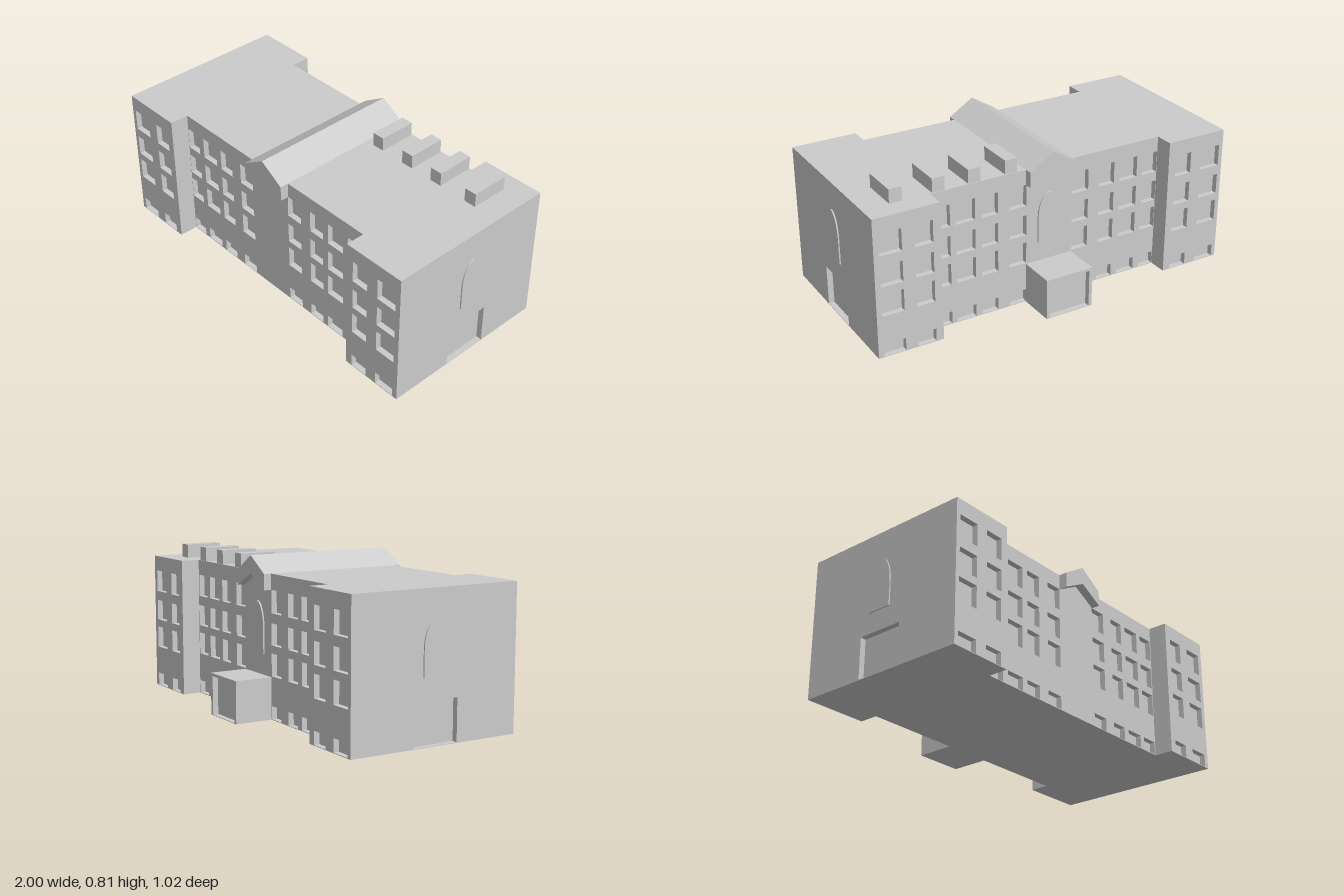
import * as THREE from 'three';

export function createModel() {
  const model = new THREE.Group();
  const material = new THREE.MeshStandardMaterial({ color: 0xcccccc, flatShading: true });
  const H = 0.73, T = 0.03, FLOOR = 0.003; // wall height, recess depth, floor of recesses

  function add(name, geometry, parent = model) {
    const mesh = new THREE.Mesh(geometry, material);
    mesh.name = name;
    parent.add(mesh);
    return mesh;
  }

  // Box given by its limits
  function block(name, x0, x1, y0, y1, z0, z1) {
    const g = new THREE.BoxGeometry(x1 - x0, y1 - y0, z1 - z0);
    g.translate((x0 + x1) / 2, (y0 + y1) / 2, (z0 + z1) / 2);
    return add(name, g);
  }

  function rectangle(Kind, x0, x1, y0, y1) {
    const p = new Kind();
    p.moveTo(x0, y0).lineTo(x1, y0).lineTo(x1, y1).lineTo(x0, y1).closePath();
    return p;
  }

  // Wall slab of thickness T with rectangular openings [x0, x1, y0, y1]
  function facade(x0, x1, height, openings) {
    const shape = rectangle(THREE.Shape, x0, x1, 0, height);
    for (const o of openings) shape.holes.push(rectangle(THREE.Path, ...o));
    return new THREE.ExtrudeGeometry(shape, { depth: T, bevelEnabled: false });
  }

  // Window grid: four storeys over the given columns
  const storeys = [[FLOOR, 0.07], [0.22, 0.335], [0.375, 0.485], [0.535, 0.65]];
  const windows = (columns) => columns.flatMap((c) => storeys.map((s) => [...c, ...s]));
  const leftWing = [[0.69, 0.785], [0.85, 0.965]];
  const rightWing = [[-0.97, -0.855], [-0.79, -0.69]];
  const centre = [
    [-0.648, -0.56], [-0.525, -0.42], [-0.385, -0.295], [-0.23, -0.135],
    [0.13, 0.225], [0.29, 0.38], [0.415, 0.52], [0.55, 0.645],
  ];

  // Cores behind the window recesses
  const W = 0.993, I = 0.65;
  block('centreCore', -I, I, 0, H, -0.315 + T, 0.41 - T);
  block('leftWingCore', I, W - T, 0, H, -0.415 + T, 0.51 - T);
  block('rightWingCore', -W + T, -I, 0, H, -0.415 + T, 0.51 - T);

  // Front and back walls: name, limits, columns, front z, back z
  for (const [name, x0, x1, cols, front, back] of [
    ['centre', -I, I, centre, 0.41, -0.315],
    ['leftWing', I, W, leftWing, 0.51, -0.415],
    ['rightWing', -W, -I, rightWing, 0.51, -0.415],
  ]) {
    const wall = facade(x0, x1, H, windows(cols));
    add(name + 'FrontWall', wall).position.z = front - T;
    add(name + 'BackWall', wall).position.z = back;
    block(name + 'Floor', x0, x1, 0, FLOOR, back, front);
  }

  // End walls with a recessed doorway
  const endWall = facade(-0.51 + T, 0.415 - T, H, [[-0.17, 0.075, FLOOR, 0.215]]);
  endWall.rotateY(Math.PI / 2);
  add('leftEndWall', endWall).position.x = W - T;
  add('rightEndWall', endWall).position.x = -W;

  // Thin raised arched windows on both ends and above the porch
  const arch = new THREE.Shape();
  arch.moveTo(-0.065, 0.32).lineTo(0.065, 0.32).lineTo(0.065, 0.45);
  arch.absellipse(0, 0.45, 0.065, 0.135, 0, Math.PI, false, 0);
  arch.closePath();
  const archGeometry = new THREE.ExtrudeGeometry(arch, {
    depth: 0.014, bevelEnabled: false, curveSegments: 16,
  });
  archGeometry.translate(0, 0, -0.007);
  for (const side of [1, -1]) {
    const pane = add(side > 0 ? 'leftArchedWindow' : 'rightArchedWindow', archGeometry);
    pane.rotation.y = Math.PI / 2;
    pane.position.set(side * W, 0, 0.04);
  }
  add('backArchedWindow', archGeometry).position.z = -0.316;

  // Gabled cross roof
  const gable = new THREE.Shape();
  gable.moveTo(-0.133, 0.65).lineTo(0, 0.72).lineTo(0.133, 0.65);
  gable.lineTo(0.133, H).lineTo(0, 0.812).lineTo(-0.133, H).closePath();
  const gableGeometry = new THREE.ExtrudeGeometry(gable, { depth: 0.81, bevelEnabled: false });
  add('gableRoof', gableGeometry).position.z = -0.355;

  // Back porch with a recessed panel
  const P = 0.132, porchTop = 0.215;
  block('porchCore', -P, P, 0, porchTop, -0.515 + T, -0.3);
  add('porchFront', facade(-P, P, porchTop, [[-P + 0.018, P - 0.018, FLOOR, porchTop - 0.015]]))
    .position.z = -0.515;
  block('porchFloor', -P, P, 0, FLOOR, -0.515, -0.48);

  // Roof vents
  for (const x of [0.213, 0.413, 0.603, 0.823]) {
    block('roofVent', x - 0.033, x + 0.033, H - 0.01, 0.802, -0.31, -0.11);
  }

  return model;
}
